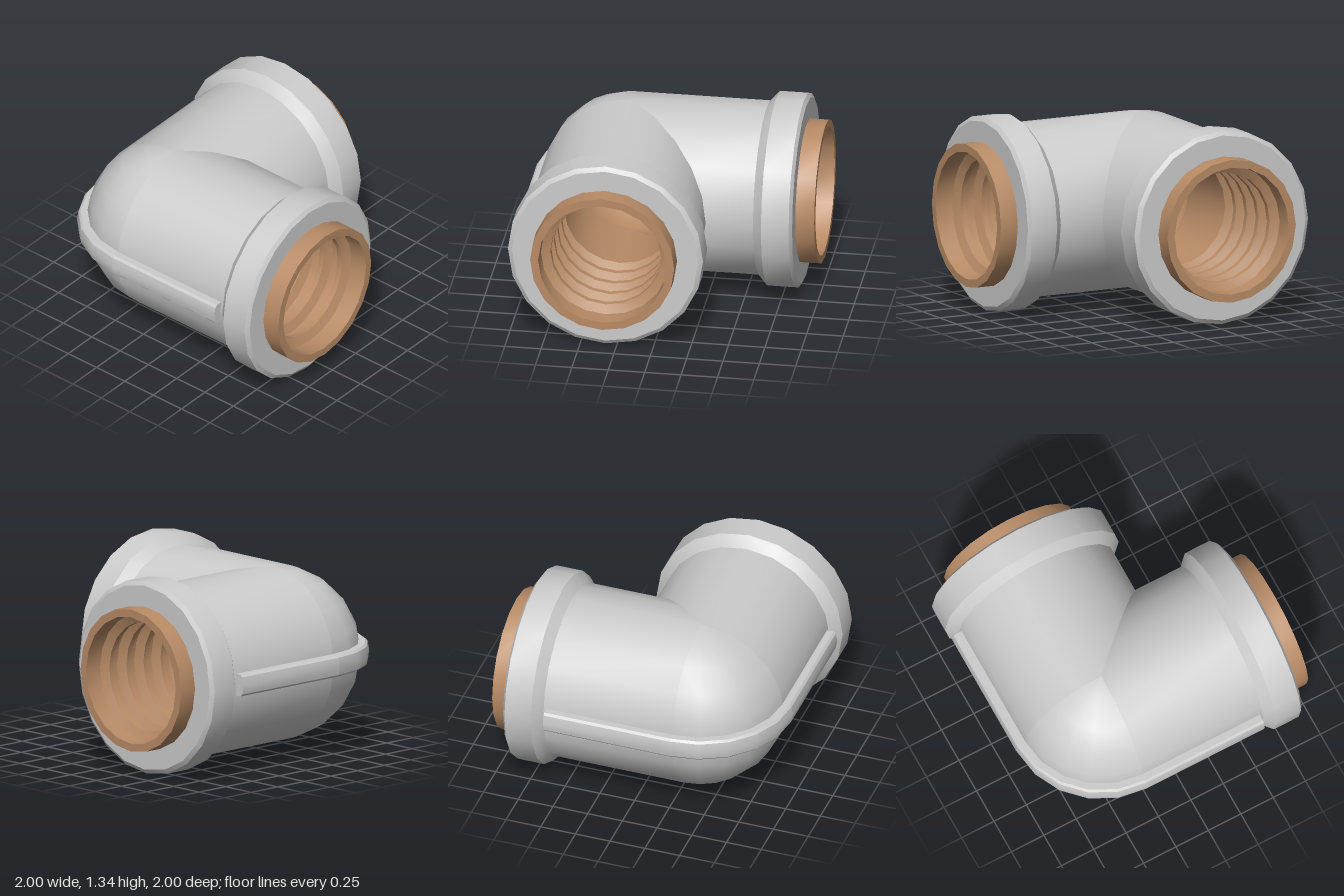
import * as THREE from 'three';
import { toCreasedNormals } from 'three/addons/utils/BufferGeometryUtils.js';

const SIDES = 20, BODY_R = 0.6, BORE_R = 0.38, THREAD_R = 0.44, SLEEVE_R = 0.495;
const grey = new THREE.MeshStandardMaterial({ color: 0xcccccc });
const brass = new THREE.MeshStandardMaterial({ color: 0xb88b66 });
const brassInside = new THREE.MeshStandardMaterial({ color: 0xb88b66, side: THREE.BackSide });

function mesh(name, geometry, material) {
  const m = new THREE.Mesh(toCreasedNormals(geometry, 0.5), material);
  m.name = name;
  return m;
}

// Turned part along +x from [x, radius] pairs; rings at x = 0 are cut to the mitre on the inner (-z) side
function turned(profile) {
  const g = new THREE.LatheGeometry(profile.map(([x, r]) => new THREE.Vector2(r, x)), SIDES);
  g.rotateZ(-Math.PI / 2);
  const p = g.attributes.position;
  for (let i = 0; i < p.count; i++) {
    if (Math.abs(p.getX(i)) < 1e-6) p.setX(i, Math.max(0, -p.getZ(i)));
  }
  return g;
}

// Quarter of a ball closing the outside of the bend
function bendCap(r) {
  return new THREE.SphereGeometry(r, SIDES / 4, SIDES / 2, 0, Math.PI / 2);
}

function createArm(name) {
  const arm = new THREE.Group();
  arm.name = name;

  // Pipe wall with chamfered collar
  arm.add(mesh('pipeAndCollar', turned([
    [0, BODY_R], [0.925, BODY_R], [0.99, 0.67], [1.18, 0.67], [1.2, 0.64], [1.2, SLEEVE_R],
  ]), grey));

  // Projecting sleeve, thread ridges and smooth bore, running from outside to inside
  const sleeve = [[1.2, SLEEVE_R], [1.33, SLEEVE_R], [1.33, THREAD_R]];
  for (let i = 0; i < 4; i++) {
    const x = 1.2 - i * 0.16;
    sleeve.push([x, THREAD_R], [x - 0.03, BORE_R], [x - 0.07, BORE_R], [x - 0.1, THREAD_R]);
  }
  sleeve.push([0.56, THREAD_R], [0.53, BORE_R], [0, BORE_R]);
  arm.add(mesh('threadedSleeve', turned(sleeve), brass));
  return arm;
}

export function createModel() {
  const root = new THREE.Group();
  root.name = 'pipeElbow';
  const elbow = new THREE.Group();
  elbow.name = 'elbow';
  elbow.position.set(-0.33, 0.67, 0.33);
  root.add(elbow);

  // Half turn about the diagonal swaps the two arms
  const swap = new THREE.Quaternion().setFromAxisAngle(
    new THREE.Vector3(1, 0, -1).normalize(), Math.PI);

  const sideArm = createArm('sideArm');
  const backArm = createArm('backArm');
  backArm.quaternion.copy(swap);
  elbow.add(sideArm, backArm);

  // Rounded corner, outside and inside
  elbow.add(mesh('outerBend', bendCap(BODY_R), grey));
  elbow.add(mesh('innerBend', bendCap(BORE_R), brassInside));

  // Reinforcing rib around the outside of the bend
  const section = [[0.57, -0.075], [0.635, -0.075], [0.65, -0.06], [0.662, 0],
    [0.65, 0.06], [0.635, 0.075], [0.57, 0.075]].map(([r, h]) => new THREE.Vector2(r, h));
  const straight = new THREE.ExtrudeGeometry(new THREE.Shape(section), { depth: 0.905, bevelEnabled: false });
  straight.rotateY(Math.PI);
  const backRib = mesh('backRib', straight, grey);
  const frontRib = mesh('frontRib', straight, grey);
  frontRib.quaternion.copy(swap);
  const bendRib = mesh('bendRib',
    new THREE.LatheGeometry(section, SIDES / 4, -Math.PI / 2, Math.PI / 2), grey);
  elbow.add(backRib, frontRib, bendRib);

  return root;
}
